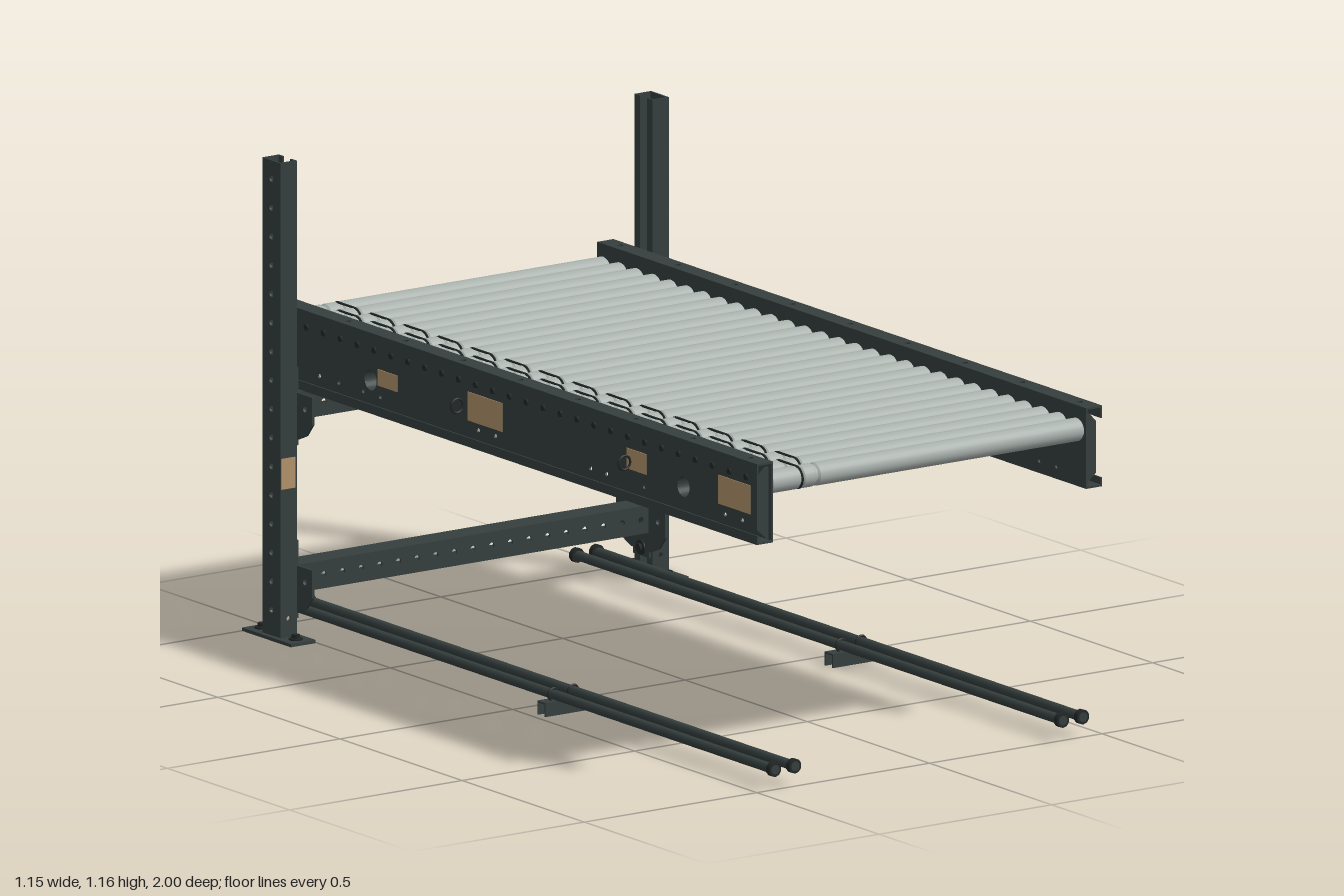
import * as THREE from 'three';

const DARK = new THREE.MeshStandardMaterial({ color: 0x353f3e });
const STEEL = new THREE.MeshStandardMaterial({ color: 0xa9b1ad });
const BLACK = new THREE.MeshStandardMaterial({ color: 0x222726 });
const LABEL = new THREE.MeshStandardMaterial({ color: 0xb3936b });

export function createModel() {
  const root = new THREE.Group();

  const group = (name) => {
    const g = new THREE.Group();
    g.name = name;
    root.add(g);
    return g;
  };
  const add = (parent, name, geo, mat, x = 0, y = 0, z = 0) => {
    const m = new THREE.Mesh(geo, mat);
    m.name = name;
    m.position.set(x, y, z);
    parent.add(m);
    return m;
  };
  const box = (parent, name, w, h, d, x, y, z, mat = DARK) =>
    add(parent, name, new THREE.BoxGeometry(w, h, d), mat, x, y, z);

  // Cylinder along a chosen axis
  const rod = (parent, name, axis, r, len, x, y, z, mat = DARK, sides = 12) => {
    const g = new THREE.CylinderGeometry(r, r, len, sides);
    if (axis === 'x') g.rotateZ(Math.PI / 2);
    if (axis === 'z') g.rotateX(Math.PI / 2);
    return add(parent, name, g, mat, x, y, z);
  };

  // Sheet cut from an outline with round holes [u, v, r], facing x, y or z
  const sheet = (points, t, holes, facing) => {
    const s = new THREE.Shape(points.map(([u, v]) => new THREE.Vector2(u, v)));
    for (const [u, v, r] of holes) s.holes.push(new THREE.Path().absarc(u, v, r, 0, Math.PI * 2, true));
    const g = new THREE.ExtrudeGeometry(s, { depth: t, bevelEnabled: false, curveSegments: 10 });
    g.translate(0, 0, -t / 2);
    if (facing === 'x') g.rotateY(-Math.PI / 2);
    if (facing === 'y') g.rotateX(Math.PI / 2);
    return g;
  };
  const rect = (u0, u1, v0, v1) => [[u0, v0], [u1, v0], [u1, v1], [u0, v1]];
  const row = (n, start, step, f) => Array.from({ length: n }, (_, i) => f(start + i * step));

  const T = 0.005;
  const postZ = -0.898;

  // Upright posts: lipped channels open inward, on foot plates
  for (const s of [1, -1]) {
    const post = group(s > 0 ? 'leftPost' : 'rightPost');
    const holes = row(16, 0.07, 0.07, (y) => [postZ, y, 0.008]);
    add(post, 'postWeb', sheet(rect(-0.935, -0.861, 0.008, 1.165), T, holes, 'x'), DARK, s * 0.5605);
    for (const z of [-0.9325, -0.8635]) {
      add(post, 'postFlange', sheet(rect(-0.024, 0.024, 0.008, 1.165), T, [[0, 0.053, 0.006]], 'z'), DARK, s * 0.539, 0, z);
      box(post, 'postLip', T, 1.157, 0.022, s * 0.5175, 0.5865, postZ + Math.sign(z - postZ) * 0.026);
    }
    add(post, 'footPlate', sheet(rect(-0.036, 0.036, -1, -0.8), 0.008, [], 'y'), DARK, s * 0.54, 0.004);
    for (const z of [-0.97, -0.83]) {
      rod(post, 'footWasher', 'y', 0.017, 0.004, s * 0.54, 0.01, z, BLACK);
      rod(post, 'footBolt', 'y', 0.01, 0.01, s * 0.54, 0.016, z, BLACK, 6);
    }
  }
  box(root, 'postLabel', 0.04, 0.075, 0.002, -0.541, 0.407, -0.86, LABEL);

  // Cross beams: perforated channels with bolted end connectors
  for (const [name, y] of [['upperBeam', 0.565], ['lowerBeam', 0.144]]) {
    const beam = group(name);
    const holes = row(19, -0.486, 0.054, (x) => [x, y, 0.0075]);
    add(beam, 'beamWeb', sheet(rect(-0.512, 0.512, y - 0.034, y + 0.034), T, holes, 'z'), DARK, 0, 0, -0.87);
    for (const e of [1, -1]) {
      box(beam, 'beamFlange', 1.024, T, 0.066, 0, y + e * 0.0315, -0.9);
      box(beam, 'beamLip', 1.024, 0.016, T, 0, y + e * 0.026, -0.9305);
    }
    for (const s of [1, -1]) {
      const outline = [[-1, y + 0.034], [-1, y - 0.034], [-0.975, y - 0.065], [-0.94, y - 0.08],
        [-0.86, y - 0.08], [-0.825, y - 0.065], [-0.8, y - 0.034], [-0.8, y + 0.034]];
      add(beam, 'connectorPlate', sheet(outline, 0.006, [[-0.97, y, 0.008], [-0.83, y, 0.008]], 'x'), DARK, s * 0.511);
      box(beam, 'connectorStrip', 0.006, 0.19, 0.066, s * 0.511, y, postZ);
      for (const dy of [-0.075, 0.075]) {
        rod(beam, 'connectorWasher', 'x', 0.018, 0.004, s * 0.507, y + dy, postZ, BLACK);
        rod(beam, 'connectorBolt', 'x', 0.011, 0.012, s * 0.504, y + dy, postZ, BLACK, 6);
      }
    }
  }

  // Side rails: channels open outward
  const webHoles = [0.88, 0.81, 0.48, 0.325, 0.26, -0.13, -0.2, -0.6, -0.67, -0.77, -0.85].map((z) => [z, 0.634, 0.006]);
  const flangeHoles = row(9, -0.94, 0.235, (z) => [0, z, 0.008]);
  for (const s of [1, -1]) {
    const rail = group(s > 0 ? 'leftRail' : 'rightRail');
    const holes = [...webHoles, [0.64, 0.667, 0.025], [-0.64, 0.667, 0.025]];
    add(rail, 'railWeb', sheet(rect(-1, 1, 0.605, 0.8), T, holes, 'x'), DARK, s * 0.4555);
    for (const y of [0.6055, 0.7975]) {
      add(rail, 'railFlange', sheet(rect(-0.023, 0.023, -1, 1), T, flangeHoles, 'y'), DARK, s * 0.477, y);
    }
    box(rail, 'railLip', 0.004, 0.028, 2, s * 0.498, 0.784, 0);
    box(rail, 'railLip', 0.004, 0.02, 2, s * 0.498, 0.615, 0);
    // End brackets closing the channel
    const end = [[0.455, 0.61], [0.462, 0.61], [0.491, 0.635], [0.491, 0.762], [0.468, 0.785], [0.455, 0.785]];
    for (const z of [-0.985, 0.985]) {
      add(rail, 'endBracket', sheet(end.map(([x, y]) => [s * x, y]), T, [], 'z'), DARK, 0, 0, z);
    }
    // Cable rings on the outside
    for (const z of [0.445, -0.24]) {
      add(rail, 'cableRing', new THREE.TorusGeometry(0.017, 0.003, 6, 18), BLACK, s * 0.491, 0.69, z);
    }
    // Stickers: z, y, length, height
    const stickers = s > 0
      ? [[0.943, 0.69, 0.055, 0.03], [0.815, 0.692, 0.12, 0.065], [0.536, 0.685, 0.138, 0.07],
        [0.312, 0.665, 0.085, 0.05], [-0.577, 0.682, 0.075, 0.095], [-0.785, 0.682, 0.14, 0.065]]
      : [[0.85, 0.69, 0.13, 0.07], [0.45, 0.69, 0.08, 0.05], [-0.17, 0.685, 0.14, 0.07], [-0.57, 0.68, 0.08, 0.04]];
    for (const [z, y, l, h] of stickers) box(rail, 'sticker', 0.002, h, l, s * 0.459, y, z, LABEL);
  }

  // Open tubes tying the rails together
  const wall = [[0.025, -0.453], [0.028, -0.453], [0.028, 0.453], [0.025, 0.453], [0.025, -0.453]];
  const tube = new THREE.LatheGeometry(wall.map(([r, x]) => new THREE.Vector2(r, x)), 24).rotateZ(-Math.PI / 2);
  for (const z of [0.64, -0.64]) {
    const m = add(root, 'crossTube', tube, DARK, 0, 0.667, z);
    m.material = DARK.clone();
    m.material.side = THREE.DoubleSide;
  }

  // Rollers with two belt grooves near the right end
  const R = 0.028, rollerY = 0.743, count = 29, step = 0.0692;
  const profile = [[0, -0.452], [0.025, -0.452], [R, -0.448], [R, -0.37], [0.024, -0.366], [0.024, -0.361], [R, -0.356],
    [R, -0.326], [0.0245, -0.322], [0.0245, -0.317], [R, -0.312], [R, 0.448], [0.025, 0.452], [0, 0.452]];
  // Repeated points keep the profile corners crisp
  const lathePoints = profile.flatMap(([r, x]) => [new THREE.Vector2(r, x), new THREE.Vector2(r, x)]).slice(1, -1);
  const rollerGeo = new THREE.LatheGeometry(lathePoints, 24).rotateZ(-Math.PI / 2);
  const rollers = group('rollers');
  const belts = group('driveBelts');

  // Belt loop around a neighbouring pair of rollers
  const loop = [];
  for (let i = 0; i < 20; i++) {
    const half = i < 10 ? 1 : -1;
    const a = -Math.PI / 2 + ((i % 10) / 9) * Math.PI;
    loop.push(new THREE.Vector3(0, half * Math.sin(a) * 0.0265, half * (step / 2 + Math.cos(a) * 0.0265)));
  }
  const path = new THREE.CurvePath();
  loop.forEach((p, i) => path.add(new THREE.LineCurve3(p, loop[(i + 1) % loop.length])));
  const beltGeo = new THREE.TubeGeometry(path, 48, 0.003, 5, true);

  for (let i = 0; i < count; i++) {
    const z = (i - (count - 1) / 2) * step;
    add(rollers, 'roller', rollerGeo, STEEL, 0, rollerY, z);
    rod(rollers, 'axle', 'x', 0.008, 0.926, 0, rollerY, z, BLACK, 6);
    if (i < count - 1) add(belts, 'belt', beltGeo, BLACK, i % 2 ? -0.3635 : -0.3195, rollerY, z + step / 2);
  }

  // Floor rods in pairs on a small support
  for (const s of [1, -1]) {
    const floor = group(s > 0 ? 'leftFloorRods' : 'rightFloorRods');
    for (const x of [0.388, 0.446]) {
      rod(floor, 'floorRod', 'z', 0.012, 2, s * x, 0.048, 0);
      for (const z of [-0.992, 0.992]) rod(floor, 'rodNut', 'z', 0.018, 0.014, s * x, 0.048, z, BLACK, 10);
      add(floor, 'rodClamp', new THREE.TorusGeometry(0.0145, 0.003, 6, 18), BLACK, s * x, 0.048, 0.09);
    }
    // Channel-shaped support
    box(floor, 'supportTop', 0.128, 0.004, 0.034, s * 0.416, 0.032, 0.09);
    for (const z of [0.075, 0.105]) box(floor, 'supportSide', 0.128, 0.032, 0.004, s * 0.416, 0.016, z);
  }

  return root;
}
